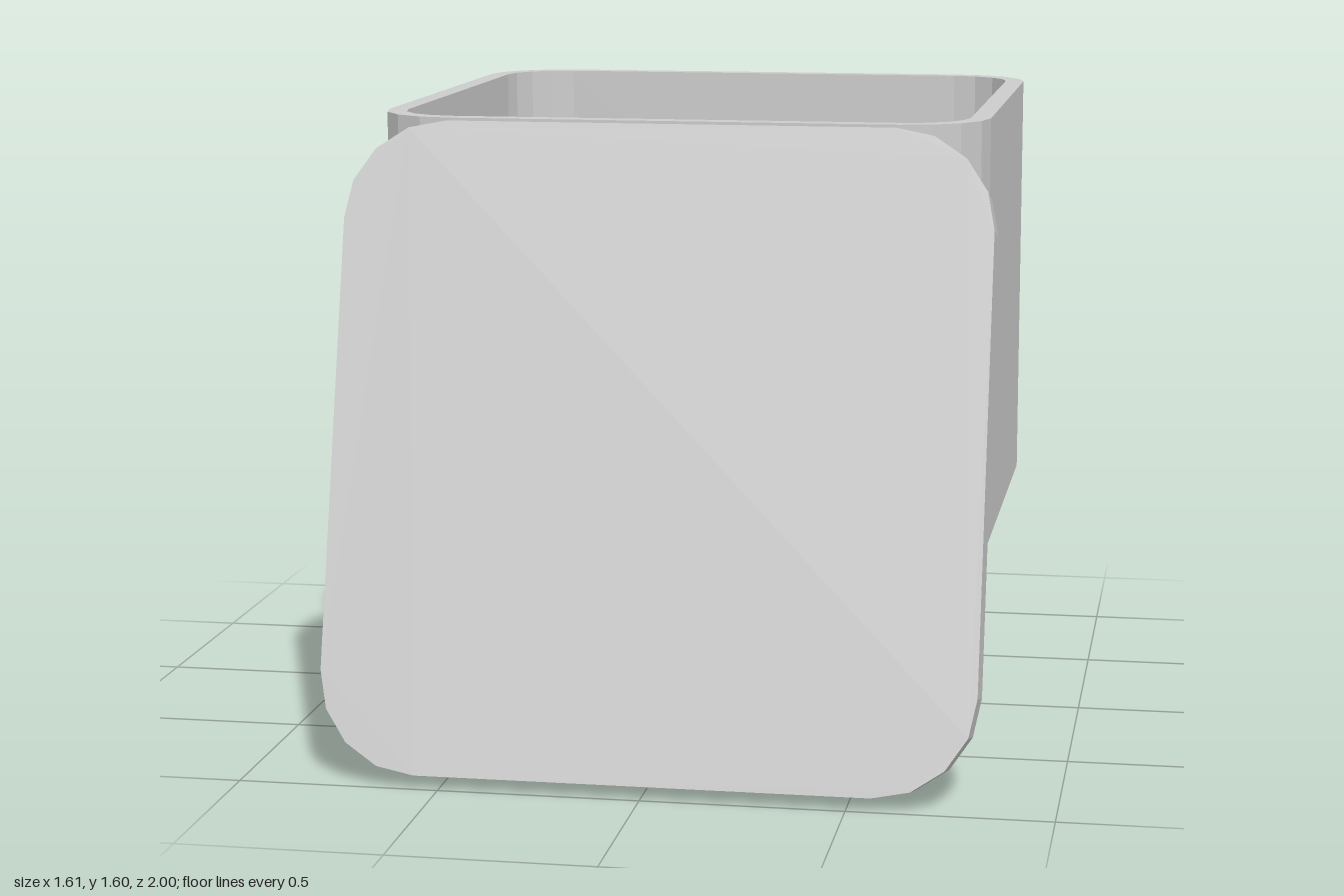
import * as THREE from 'three';

// Outline of a rounded rectangle with faceted corners
function roundedOutline(halfW, halfH, radius, steps = 4) {
  const points = [];
  const corners = [[1, 1], [-1, 1], [-1, -1], [1, -1]];
  corners.forEach(([sx, sy], i) => {
    for (let k = 0; k <= steps; k++) {
      const a = (i + k / steps) * Math.PI / 2;
      points.push(new THREE.Vector2(
        sx * (halfW - radius) + Math.cos(a) * radius,
        sy * (halfH - radius) + Math.sin(a) * radius));
    }
  });
  return points;
}

function extrude(shape, depth) {
  return new THREE.ExtrudeGeometry(shape, { depth, bevelEnabled: false });
}

export function createModel() {
  const group = new THREE.Group();
  const grey = new THREE.MeshStandardMaterial({ color: 0xcccccc });
  grey.name = 'light grey';

  const add = (name, geometry, parent) => {
    const mesh = new THREE.Mesh(geometry, grey);
    mesh.name = name;
    parent.add(mesh);
    return mesh;
  };

  // Open container: a floor slab with a rounded wall ring on it
  const bottom = 0.495, top = 1.6, wall = 0.05;
  const halfW = 0.77, halfD = 0.7725, radius = 0.21;
  const container = new THREE.Group();
  container.name = 'container';
  container.position.z = -0.2275;
  group.add(container);

  const outer = roundedOutline(halfW, halfD, radius);
  const ring = new THREE.Shape(outer);
  ring.holes.push(new THREE.Path(
    roundedOutline(halfW - wall, halfD - wall, radius - wall).reverse()));

  const floor = add('floor', extrude(new THREE.Shape(outer), wall).rotateX(-Math.PI / 2), container);
  floor.position.y = bottom;
  const walls = add('walls', extrude(ring, top - bottom - wall).rotateX(-Math.PI / 2), container);
  walls.position.y = bottom + wall;

  // Lid leaning against the front of the container
  const thickness = 0.135;
  const lidGeometry = extrude(new THREE.Shape(roundedOutline(0.807, 0.807, 0.247)), thickness);
  lidGeometry.translate(0, 0, -thickness);
  const lid = add('lid', lidGeometry, group);
  lid.position.set(0, 0.817, 0.791);
  lid.rotation.x = -Math.PI / 12;

  return group;
}
